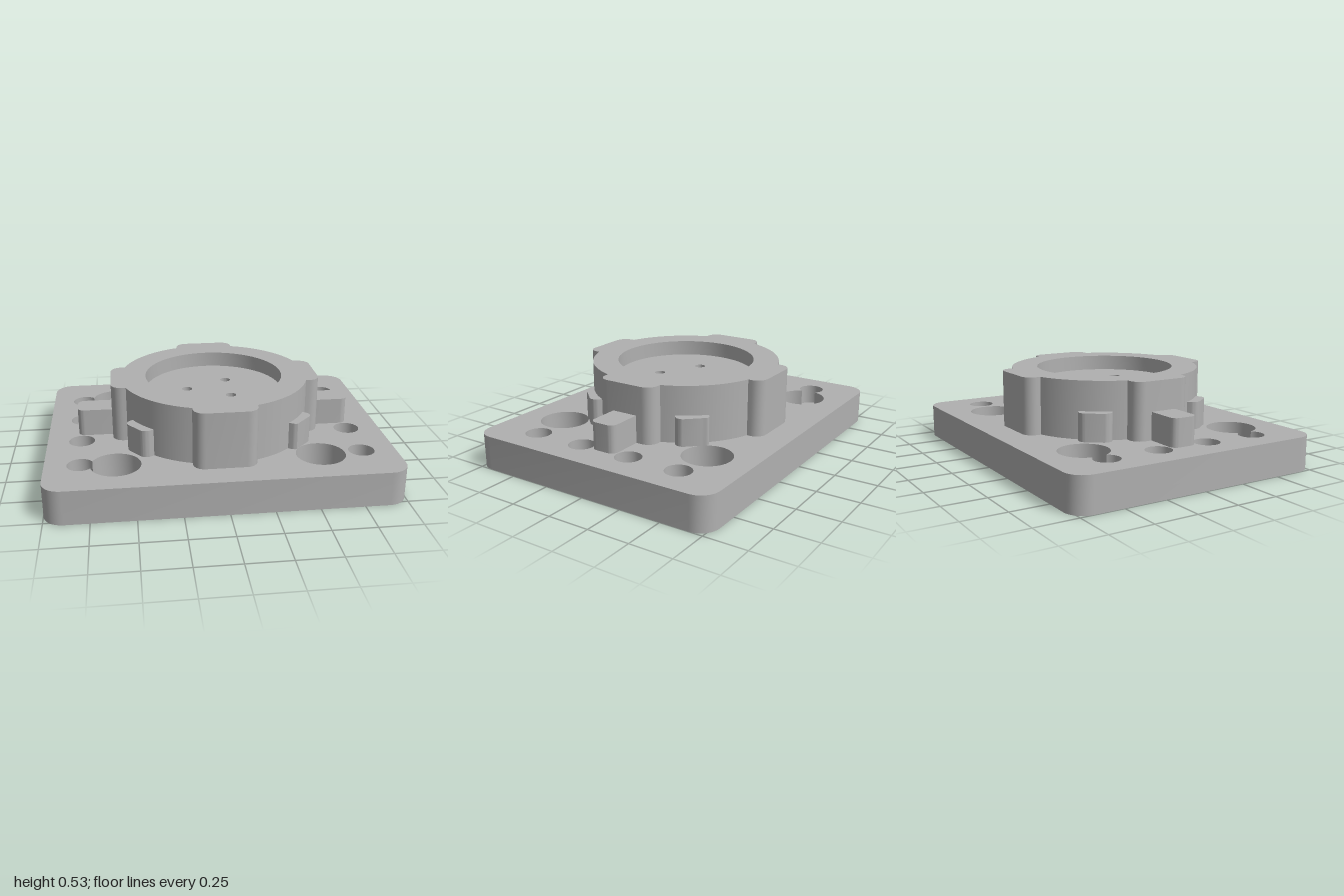
import * as THREE from 'three';
import { mergeGeometries, toCreasedNormals } from 'three/addons/utils/BufferGeometryUtils.js';

const PI = Math.PI;

// Points are Vector2 (x, z); loops run anticlockwise in that plane.
function arc(cx, cz, r, from, to, n = 8) {
  const pts = [];
  for (let i = 0; i <= n; i++) {
    const a = from + (to - from) * i / n;
    pts.push(new THREE.Vector2(cx + r * Math.cos(a), cz + r * Math.sin(a)));
  }
  return pts;
}

function loop(...parts) {
  const pts = parts.flat();
  return pts.filter((p, i) => p.distanceTo(pts[(i + 1) % pts.length]) > 1e-5);
}

const circle = (c, r, n = 48) => loop(arc(c[0], c[1], r, 0, 2 * PI, n));

function roundedRect(x0, x1, z0, z1, r) {
  return loop(
    arc(x1 - r, z0 + r, r, -PI / 2, 0), arc(x1 - r, z1 - r, r, 0, PI / 2),
    arc(x0 + r, z1 - r, r, PI / 2, PI), arc(x0 + r, z0 + r, r, PI, PI * 1.5));
}

// Vertical wall along a loop; inward walls line holes and pockets.
function wall(pts, y0, y1, inward = false) {
  const v = [];
  pts.forEach((p, i) => {
    const q = pts[(i + 1) % pts.length];
    const a = [p.x, y0, p.y], b = [q.x, y0, q.y], c = [q.x, y1, q.y], d = [p.x, y1, p.y];
    v.push(...(inward ? [a, b, d, b, c, d] : [a, d, b, b, d, c]).flat());
  });
  const g = new THREE.BufferGeometry();
  g.setAttribute('position', new THREE.Float32BufferAttribute(v, 3));
  g.computeVertexNormals();
  return g;
}

// Flat horizontal face with holes, facing up or down.
function cap(pts, y, up = true, holes = []) {
  const shape = new THREE.Shape(pts);
  shape.holes = holes.map((h) => new THREE.Path(h));
  const g = new THREE.ShapeGeometry(shape).rotateX(PI / 2).translate(0, y, 0);
  if (up) g.index.array.reverse();
  const flat = g.toNonIndexed();
  flat.deleteAttribute('uv');
  flat.computeVertexNormals();
  return flat;
}

export function createModel() {
  const group = new THREE.Group();
  const grey = new THREE.MeshStandardMaterial({ color: 0xb0b0b0 });
  const add = (name, parts) => {
    const mesh = new THREE.Mesh(toCreasedNormals(mergeGeometries(parts), 0.6), grey);
    mesh.name = name;
    group.add(mesh);
  };

  const plateTop = 0.2, boreFloor = 0.08, ringTop = 0.53, pocketFloor = 0.44, tabTop = 0.36;
  const bigR = 0.142, boreR = 0.0755, boltR = 0.031, ringR = 0.56;
  const topHoles = [], bottomHoles = [], holeWalls = [];

  // Large corner holes; the two on the right break into their neighbouring counterbores
  for (const s of [-1, 1]) {
    const right = circle([0.556, s * 0.5], bigR);
    topHoles.push(right);
    bottomHoles.push(right);
    holeWalls.push(wall(right, 0, plateTop, true));

    const A = [-0.605, s * 0.5], B = [-0.8, s * 0.48];
    const dx = B[0] - A[0], dz = B[1] - A[1], d = Math.hypot(dx, dz), th = Math.atan2(dz, dx);
    const al = Math.acos((d * d + bigR ** 2 - boreR ** 2) / (2 * d * bigR));
    const be = Math.acos((d * d + boreR ** 2 - bigR ** 2) / (2 * d * boreR));
    const boreArc = arc(...B, boreR, th - PI + be, th + PI - be, 28);
    const joined = loop(arc(...A, bigR, th + al, th + 2 * PI - al, 44), boreArc);
    const ledge = loop(boreArc, arc(...A, bigR, th + al, th - al, 6));
    const left = circle(A, bigR), bolt = circle(B, boltR, 24);
    topHoles.push(joined);
    bottomHoles.push(left, bolt);
    holeWalls.push(wall(joined, boreFloor, plateTop, true), wall(left, 0, boreFloor, true),
      wall(bolt, 0, boreFloor, true), cap(ledge, boreFloor, true, [bolt]));
  }

  // Remaining counterbored bolt holes
  for (const c of [[-0.8, -0.16], [-0.8, 0.16], [0.8, -0.48], [0.8, -0.16], [0.8, 0.16], [0.8, 0.48]]) {
    const bore = circle(c, boreR, 32), bolt = circle(c, boltR, 24);
    topHoles.push(bore);
    bottomHoles.push(bolt);
    holeWalls.push(wall(bore, boreFloor, plateTop, true), wall(bolt, 0, boreFloor, true),
      cap(bore, boreFloor, true, [bolt]));
  }

  // Three pocket holes, widened from underneath
  const pins = [[-0.16, 0], [0.09, -0.131], [0.09, 0.131]];
  const pinHoles = pins.map((c) => circle(c, boltR, 24));
  const pinWalls = [], pinShoulder = 0.32;
  pins.forEach((c, i) => {
    const wide = circle(c, 0.083, 32);
    bottomHoles.push(wide);
    pinWalls.push(wall(wide, 0, pinShoulder, true), wall(pinHoles[i], pinShoulder, pocketFloor, true),
      cap(wide, pinShoulder, false, [pinHoles[i]]));
  });

  // Base plate
  const outline = roundedRect(-1, 1, -0.78, 0.78, 0.11);
  add('basePlate', [wall(outline, 0, plateTop), cap(outline, 0, false, bottomHoles),
    cap(outline, plateTop, true, [...topHoles, circle([0, 0], 0.54)])]);
  add('plateHoles', holeWalls);
  add('pinHoles', pinWalls);

  // Ring with four rounded lobes and a shallow round pocket
  const phi = Math.asin(0.18 / ringR), lobeR = 0.065, ringPts = [];
  for (let k = 0; k < 4; k++) {
    const quarter = [
      ...arc(0.617 - lobeR, -0.18 + lobeR, lobeR, -PI / 2, 0),
      ...arc(0.617 - lobeR, 0.18 - lobeR, lobeR, 0, PI / 2),
      ...arc(0, 0, ringR, phi, PI / 2 - phi, 14)];
    quarter.forEach((p) => ringPts.push(p.rotateAround(new THREE.Vector2(), k * PI / 2)));
  }
  const ring = loop(ringPts), pocket = circle([0, 0], 0.409, 72);
  add('ring', [wall(ring, plateTop, ringTop), cap(ring, ringTop, true, [pocket])]);
  add('pocket', [wall(pocket, pocketFloor, ringTop, true), cap(pocket, pocketFloor, true, pinHoles)]);

  // Tabs around the ring, trimmed where a large hole passes
  const tab = (name, angle, reach, half, r) => {
    const start = ringR - 0.03;
    const pts = loop([new THREE.Vector2(start, -half)],
      arc(reach - r, -half + r, r, -PI / 2, 0, 10), arc(reach - r, half - r, r, 0, PI / 2, 10),
      [new THREE.Vector2(start, half)]);
    for (const p of pts) {
      p.rotateAround(new THREE.Vector2(), angle);
      for (const s of [-1, 1]) {
        const c = new THREE.Vector2(0.556, s * 0.5), away = p.clone().sub(c);
        if (away.length() < bigR) p.copy(c).add(away.setLength(bigR));
      }
    }
    add(name, [wall(pts, plateTop, tabTop), cap(pts, tabTop)]);
  };
  for (const base of [0, PI]) {
    tab('sideTab', base, 0.82, 0.078, 0.04);
    for (const s of [-1, 1]) tab('diagonalTab', base + s * 0.64, 0.615, 0.094, 0.045);
  }
  return group;
}
